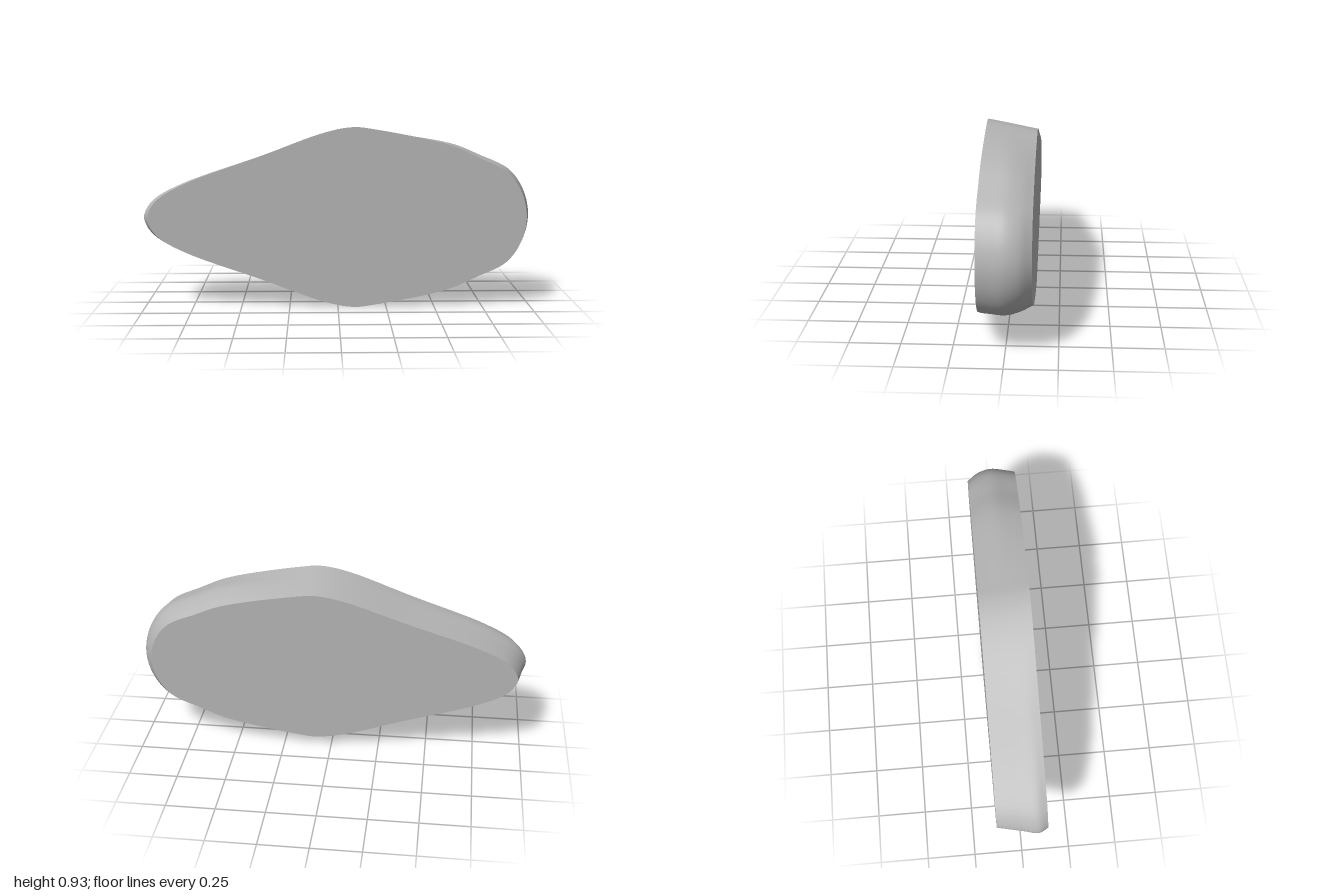
import * as THREE from 'three';

const MID = 0.467;  // height of the mirror line
const CREST = 0.08; // x of the tallest point

// Upper half of the front outline, tail to nose: x, height above the mirror line
const HALF = [
  [-0.978, 0], [-0.962, 0.05], [-0.915, 0.105], [-0.78, 0.18], [-0.4, 0.318], [-0.06, 0.442],
  [CREST, 0.467], [0.18, 0.457], [0.57, 0.375], [0.72, 0.31], [0.87, 0.235], [0.945, 0.13], [0.973, 0],
];
const TAIL = HALF[0][0], NOSE = HALF[HALF.length - 1][0];

// Cross-sections through the depth, front to back
const SECTIONS = [
  { z: 0.127, tail: -0.978, nose: 0.973, height: 1, swell: 0 },
  { z: 0.08, tail: -1, nose: 0.985, height: 0.979, swell: 0.03 },
  { z: 0, tail: -0.983, nose: 1, height: 0.945, swell: 0.075 },
  { z: -0.07, tail: -0.968, nose: 0.985, height: 0.914, swell: 0.05 },
  { z: -0.127, tail: -0.955, nose: 0.945, height: 0.889, swell: 0 },
];

// Closed smooth outline of one section: tail, over the top, nose, back underneath
function outline({ z, tail, nose, height, swell }) {
  const upper = HALF.map(([x, h]) => {
    const reach = x < CREST ? (tail - CREST) / (TAIL - CREST) : (nose - CREST) / (NOSE - CREST);
    const fuller = 1 + swell * THREE.MathUtils.smoothstep(x, 0.1, 0.8);
    return new THREE.Vector3(CREST + (x - CREST) * reach, MID + h * height * fuller, z);
  });
  const lower = upper.slice(1, -1).reverse().map((p) => new THREE.Vector3(p.x, 2 * MID - p.y, z));
  const ring = [...upper, ...lower];
  return new THREE.CatmullRomCurve3(ring, true, 'centripetal').getPoints(ring.length * 8).slice(0, -1);
}

// Smooth band lofted through the sections
function loft(rings, rows) {
  const n = rings[0].length;
  const rails = rings[0].map((_, i) => new THREE.CatmullRomCurve3(rings.map((r) => r[i]), false, 'centripetal'));
  const points = [], index = [];
  for (let r = 0; r <= rows; r++) {
    for (const rail of rails) points.push(rail.getPoint(r / rows));
  }
  for (let r = 0; r < rows; r++) {
    for (let i = 0; i < n; i++) {
      const a = r * n + i, b = r * n + (i + 1) % n;
      index.push(a, b, a + n, b, b + n, a + n);
    }
  }
  const geometry = new THREE.BufferGeometry().setFromPoints(points);
  geometry.setIndex(index);
  geometry.computeVertexNormals();
  return geometry;
}

// Flat face filling an outline, turned around for the back
function flatFace(ring, material, back) {
  const shape = new THREE.Shape(ring.map((p) => new THREE.Vector2(back ? -p.x : p.x, p.y)));
  const face = new THREE.Mesh(new THREE.ShapeGeometry(shape), material);
  face.name = back ? 'backFace' : 'frontFace';
  face.position.z = ring[0].z;
  if (back) face.rotation.y = Math.PI;
  return face;
}

export function createModel() {
  const group = new THREE.Group();
  const grey = new THREE.MeshStandardMaterial({ color: 0xb4b4b4 });
  grey.name = 'grey';

  const rings = SECTIONS.map(outline);
  const rim = new THREE.Mesh(loft(rings, 24), grey);
  rim.name = 'rim';
  group.add(rim, flatFace(rings[0], grey, false), flatFace(rings[rings.length - 1], grey, true));
  return group;
}
